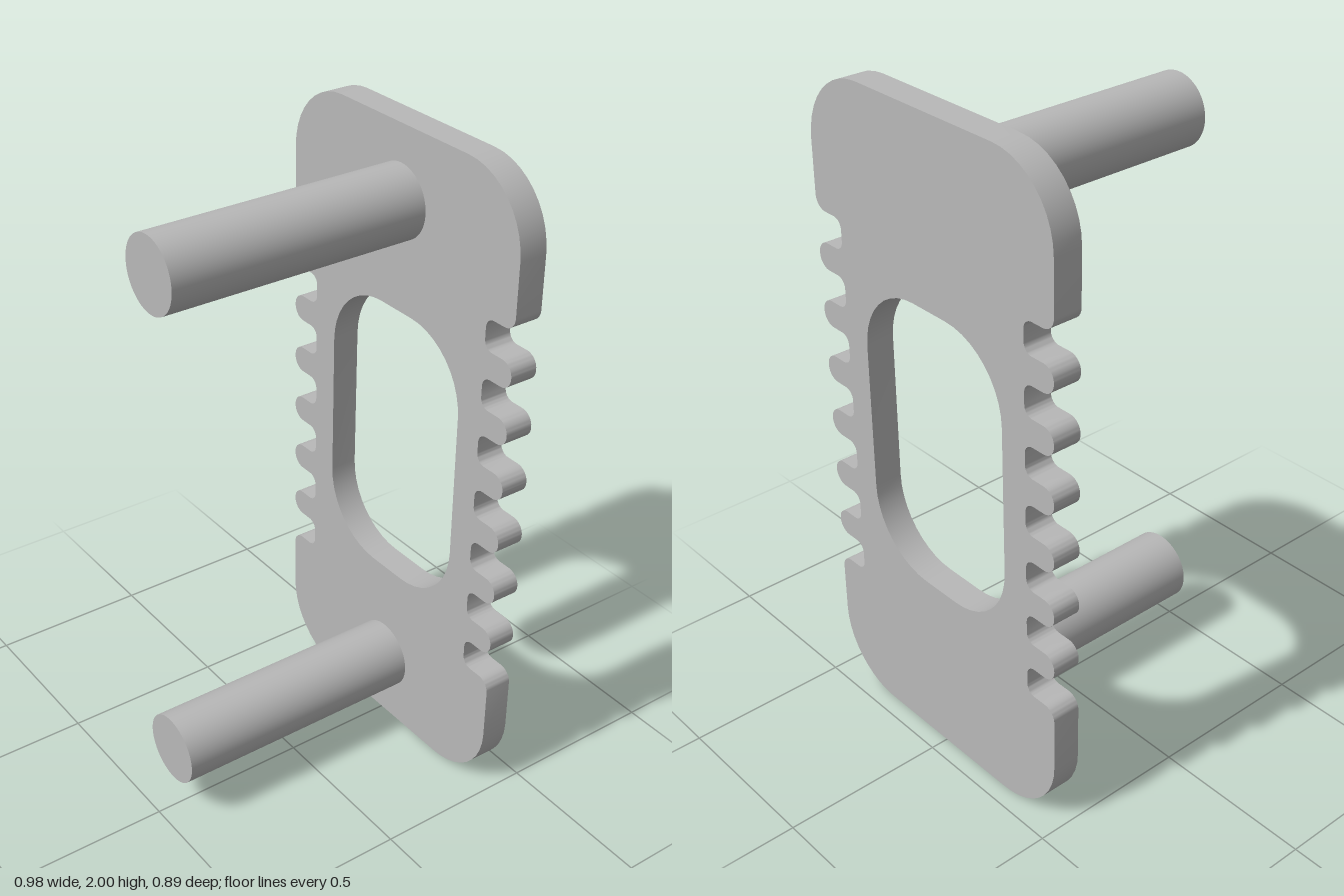
import * as THREE from 'three';
import { toCreasedNormals } from 'three/addons/utils/BufferGeometryUtils.js';

const MID_Y = 1.001;
const BACK_Z = -0.444;
const FRONT_Z = 0.444;
const THICKNESS = 0.088;

// Turns right-angled corners [x, y, radius] into an outline with circular fillets.
function roundedOutline(corners, steps = 10) {
  const points = [];
  corners.forEach(([x, y, r], i) => {
    const p = new THREE.Vector2(x, y);
    const [ax, ay] = corners[(i + corners.length - 1) % corners.length];
    const [bx, by] = corners[(i + 1) % corners.length];
    const u = new THREE.Vector2(ax, ay).sub(p).normalize();
    const v = new THREE.Vector2(bx, by).sub(p).normalize();
    const centre = p.clone().addScaledVector(u, r).addScaledVector(v, r);
    for (let k = 0; k <= steps; k++) {
      const t = (k / steps) * Math.PI / 2;
      points.push(centre.clone()
        .addScaledVector(v, -r * Math.cos(t))
        .addScaledVector(u, -r * Math.sin(t)));
    }
  });
  return points;
}

// Outer outline: large rounded corners and seven notches down each side.
function plateOutline() {
  const halfWidth = 0.488, notchX = 0.377, pitch = 0.1775, halfNotch = 0.0475;
  const tipRadius = 0.04, rootRadius = 0.03, cornerRadius = 0.22;
  const rightSide = [[halfWidth, 0, cornerRadius]];
  for (let i = -3; i <= 3; i++) {
    const y = MID_Y + 0.001 + i * pitch;
    rightSide.push(
      [halfWidth, y - halfNotch, tipRadius],
      [notchX, y - halfNotch, rootRadius],
      [notchX, y + halfNotch, rootRadius],
      [halfWidth, y + halfNotch, tipRadius]
    );
  }
  rightSide.push([halfWidth, 2, cornerRadius]);
  const leftSide = rightSide.map(([x, y, r]) => [-x, y, r]).reverse();
  return roundedOutline([...rightSide, ...leftSide]);
}

export function createModel() {
  const group = new THREE.Group();
  group.name = 'notchedPlateWithPegs';
  const grey = new THREE.MeshStandardMaterial({ color: 0xb8b8b8 });
  grey.name = 'plain grey';

  // Plate with a rounded window
  const shape = new THREE.Shape(plateOutline());
  const w = 0.288, h = 0.448, r = 0.22;
  shape.holes.push(new THREE.Path(roundedOutline([
    [-w, MID_Y - h, r], [-w, MID_Y + h, r], [w, MID_Y + h, r], [w, MID_Y - h, r],
  ])));
  const plateGeometry = new THREE.ExtrudeGeometry(shape, { depth: THICKNESS, bevelEnabled: false });
  const plate = new THREE.Mesh(toCreasedNormals(plateGeometry, 0.6), grey);
  plate.name = 'notchedPlate';
  plate.position.z = BACK_Z;
  group.add(plate);

  // Two round pegs standing out from the front
  const pegStart = BACK_Z + THICKNESS;
  const pegLength = FRONT_Z - pegStart;
  const pegGeometry = new THREE.CylinderGeometry(0.11, 0.11, pegLength, 64).rotateX(Math.PI / 2);
  for (const [name, side] of [['upperPeg', 1], ['lowerPeg', -1]]) {
    const peg = new THREE.Mesh(pegGeometry, grey);
    peg.name = name;
    peg.position.set(0, MID_Y + side * 0.778, pegStart + pegLength / 2);
    group.add(peg);
  }

  return group;
}
